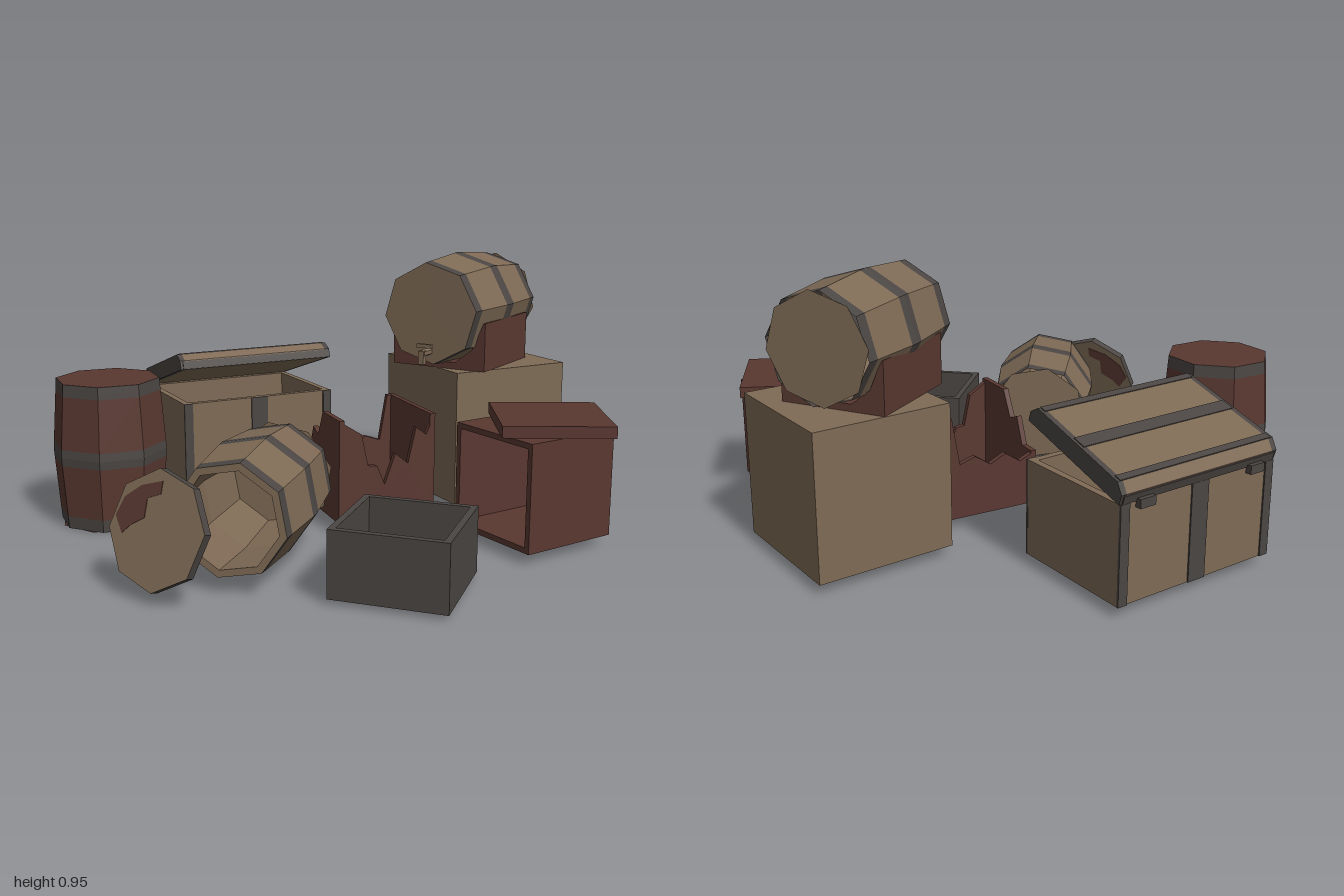
import * as THREE from 'three';

const mat = (name, color) => {
  const m = new THREE.MeshStandardMaterial({ color, side: THREE.DoubleSide });
  m.name = name;
  return m;
};
const brown = mat('pale wood', 0x7e6a55);
const red = mat('red wood', 0x5a3831);
const iron = mat('dark iron', 0x4b4643);
const DEG = Math.PI / 180;

// faceted normals for the low-poly look
function flat(geo) {
  const g = geo.index ? geo.toNonIndexed() : geo;
  g.computeVertexNormals();
  return g;
}

function add(parent, name, geo, material, x = 0, y = 0, z = 0) {
  const mesh = new THREE.Mesh(flat(geo), material);
  mesh.name = name;
  mesh.position.set(x, y, z);
  parent.add(mesh);
  return mesh;
}

const box = (parent, name, material, w, h, d, x = 0, y = 0, z = 0) =>
  add(parent, name, new THREE.BoxGeometry(w, h, d), material, x, y, z);

function group(parent, name, x, y, z, yaw = 0) {
  const g = new THREE.Group();
  g.name = name;
  g.position.set(x, y, z);
  g.rotation.order = 'YXZ';
  g.rotation.y = yaw * DEG;
  parent.add(g);
  return g;
}

function extrude(points, depth) {
  const shape = new THREE.Shape(points.map(([x, y]) => new THREE.Vector2(x, y)));
  return new THREE.ExtrudeGeometry(shape, { depth, bevelEnabled: false }).translate(0, 0, -depth / 2);
}

// eight-sided barrel along y: staves, three iron hoops, closed or open top
const HALF = 0.264, R_END = 0.188, R_MID = 0.208;
function barrel(parent, name, wood, spin, open) {
  const g = new THREE.Group();
  g.name = name;
  parent.add(g);
  const radius = y => R_MID - (R_MID - R_END) * Math.abs(y) / HALF;
  const section = (part, m, y0, y1) => add(g, part,
    new THREE.CylinderGeometry(radius(y1), radius(y0), y1 - y0, 8, 1, true).rotateY(spin * DEG), m, 0, (y0 + y1) / 2, 0);
  const end = 0.045, mid = 0.03;
  section('lowerHoop', iron, -HALF, -HALF + end);
  section('lowerStaves', wood, -HALF + end, -mid);
  section('middleHoopLower', iron, -mid, 0);
  section('middleHoopUpper', iron, 0, mid);
  section('upperStaves', wood, mid, HALF - end);
  section('upperHoop', iron, HALF - end, HALF);
  const cap = () => new THREE.CircleGeometry(R_END, 8).rotateX(-Math.PI / 2).rotateY(spin * DEG);
  add(g, 'bottomCap', cap().rotateX(Math.PI), wood, 0, -HALF, 0);
  if (open) {
    // hollow inside with a thick lip
    const pts = [[0, -HALF + 0.03], [0.163, -HALF + 0.03], [0.183, 0], [0.163, HALF], [R_END, HALF]]
      .map(([x, y]) => new THREE.Vector2(x, y));
    add(g, 'inside', new THREE.LatheGeometry(pts, 8).rotateY(spin * DEG), wood);
  } else add(g, 'topCap', cap(), wood, 0, HALF, 0);
  return g;
}

// box open towards +y, base at y = 0
function openBox(parent, m, w, h, d, t) {
  box(parent, 'floor', m, w, t, d, 0, t / 2, 0);
  for (const s of [-1, 1]) {
    box(parent, 'sideWall', m, t, h, d, s * (w - t) / 2, h / 2, 0);
    box(parent, 'endWall', m, w - 2 * t, h, t, 0, h / 2, s * (d - t) / 2);
  }
}

function buildChest(root) {
  const g = group(root, 'chest', -0.435, 0.04, -0.58, 32.7);
  openBox(g, brown, 0.64, 0.33, 0.45, 0.025);
  for (const s of [-1, 1]) {
    box(g, 'centreStrap', iron, 0.07, 0.33, 0.008, 0, 0.165, s * 0.226);
    for (const e of [-1, 1]) box(g, 'cornerStrap', iron, 0.035, 0.33, 0.008, e * 0.303, 0.165, s * 0.226);
    box(g, 'hinge', iron, 0.06, 0.03, 0.025, s * 0.23, 0.325, -0.235);
  }
  // lid propped open on its back edge
  const lid = group(g, 'chestLid', 0, 0.33, -0.225);
  lid.rotation.x = -0.3;
  const profile = [[-0.23, 0], [0.23, 0], [0.23, 0.035], [0.2, 0.065], [-0.2, 0.065], [-0.23, 0.035]];
  const slab = len => extrude(profile, len).rotateY(Math.PI / 2);
  add(lid, 'lidBoards', slab(0.61), brown, 0, 0, 0.23);
  for (const s of [-1, 1]) {
    add(lid, 'lidEndStrap', slab(0.02), iron, s * 0.315, 0, 0.23);
    box(lid, 'lidEdgeStrap', iron, 0.63, 0.03, 0.008, 0, 0.016, 0.23 + s * 0.23);
    box(lid, 'lidTopStrap', iron, 0.63, 0.006, 0.025, 0, 0.065, 0.23 + s * 0.188);
  }
  box(lid, 'lidMiddleStrap', iron, 0.63, 0.006, 0.05, 0, 0.065, 0.23);
}

function buildBrokenCrate(root) {
  const g = group(root, 'brokenCrate', 0.145, 0.04, -0.05, 26.3);
  const W = 0.185, T = 0.02;
  box(g, 'crateFloor', red, 2 * W, T, 2 * W, 0, T / 2, 0);
  const wall = top => extrude([[-W, 0], [W, 0], ...top], T);
  add(g, 'splinteredFront', wall([[W, 0.375], [0.15, 0.3], [0.11, 0.33], [0.08, 0.2], [0.03, 0.24], [-0.01, 0.13],
    [-0.04, 0.2], [-0.075, 0.205], [-0.1, 0.32], [-W, 0.375]]), red, 0, 0, W - T / 2);
  add(g, 'splinteredBack', wall([[W, 0.375], [0.15, 0.375], [0.12, 0.2], [0.06, 0.22], [0, 0.18], [-0.06, 0.21],
    [-0.12, 0.17], [-W, 0.2]]), red, 0, 0, -W + T / 2);
  add(g, 'splinteredSide', wall([[W, 0.375], [0.02, 0.375], [-0.03, 0.28], [-0.08, 0.3], [-0.12, 0.2], [-W, 0.2]])
    .rotateY(-Math.PI / 2), red, -W + T / 2, 0, 0);
  add(g, 'wholeSide', wall([[W, 0.375], [-W, 0.375]]).rotateY(-Math.PI / 2), red, W - T / 2, 0, 0);
}

function buildBarrelStack(root) {
  const crate = group(root, 'largeCrate', 0.54, 0.04, -0.42, 33.4);
  box(crate, 'crateBlock', brown, 0.49, 0.5, 0.49, 0, 0.25, 0);

  // cradle notched to hold the barrel
  const cradle = group(root, 'barrelCradle', 0.485, 0.54, -0.365, -27);
  add(cradle, 'cradleBlock', extrude([[-0.19, 0], [0.19, 0], [0.19, 0.18], [0.183, 0.18], [0.14, 0.08], [0.07, 0.025],
    [-0.07, 0.025], [-0.14, 0.08], [-0.183, 0.18], [-0.19, 0.18]], 0.38), red);

  const lying = group(root, 'stackedBarrel', 0.485, 0.752, -0.365, -27);
  lying.rotation.x = Math.PI / 2;
  barrel(lying, 'barrelBody', brown, 6, false);
  const tap = new THREE.Group();
  tap.name = 'tap';
  tap.position.set(0, HALF, 0.14);
  lying.add(tap);
  add(tap, 'tapPipe', new THREE.CylinderGeometry(0.014, 0.014, 0.07, 6), brown, 0, 0.025, 0);
  box(tap, 'tapSpout', brown, 0.022, 0.022, 0.05, 0, 0.055, 0.015);
  box(tap, 'tapHandle', brown, 0.06, 0.014, 0.014, 0, 0.035, -0.025);
}

function buildBarrelLid(root) {
  const g = group(root, 'looseBarrelLid', -0.425, 0.22, 0.845, -28);
  g.rotation.x = Math.PI / 2 - 0.28;
  add(g, 'lidDisc', new THREE.CylinderGeometry(0.187, 0.187, 0.03, 8).rotateY(6 * DEG), [iron, brown, brown]);
  // stain showing on both faces
  add(g, 'redStain', extrude([[-0.165, 0.02], [-0.14, 0.08], [-0.08, 0.125], [0, 0.15], [0, 0.11], [-0.05, 0.09],
    [-0.05, 0.03], [-0.1, 0], [-0.13, -0.03]], 0.034).rotateX(-Math.PI / 2), red);
}

export function createModel() {
  const root = new THREE.Group();
  root.name = 'barrelsAndCrates';

  barrel(group(root, 'uprightBarrel', -0.795, 0.268, 0.08), 'barrelBody', red, 6, false);

  const fallen = group(root, 'openBarrel', -0.18, 0.24, 0.535, -9);
  fallen.rotation.x = Math.PI / 2;
  barrel(fallen, 'barrelBody', brown, -12, true);

  buildBarrelLid(root);
  buildChest(root);
  buildBrokenCrate(root);
  buildBarrelStack(root);

  // crate lying on its side, open to the front left, with a loose board on top
  const side = group(root, 'sidewaysCrate', 0.733 + 0.146, 0.227, 0.188 - 0.118, 39);
  side.rotation.z = Math.PI / 2;
  openBox(side, red, 0.374, 0.375, 0.375, 0.02);
  const board = group(root, 'looseCrateLid', 0.785, 0.435, 0.18, 4.5);
  box(board, 'lidBoard', red, 0.376, 0.04, 0.376);

  // low open tray
  openBox(group(root, 'greyTray', 0.307, 0.02, 0.704, -13.9), iron, 0.376, 0.22, 0.376, 0.022);

  return root;
}
